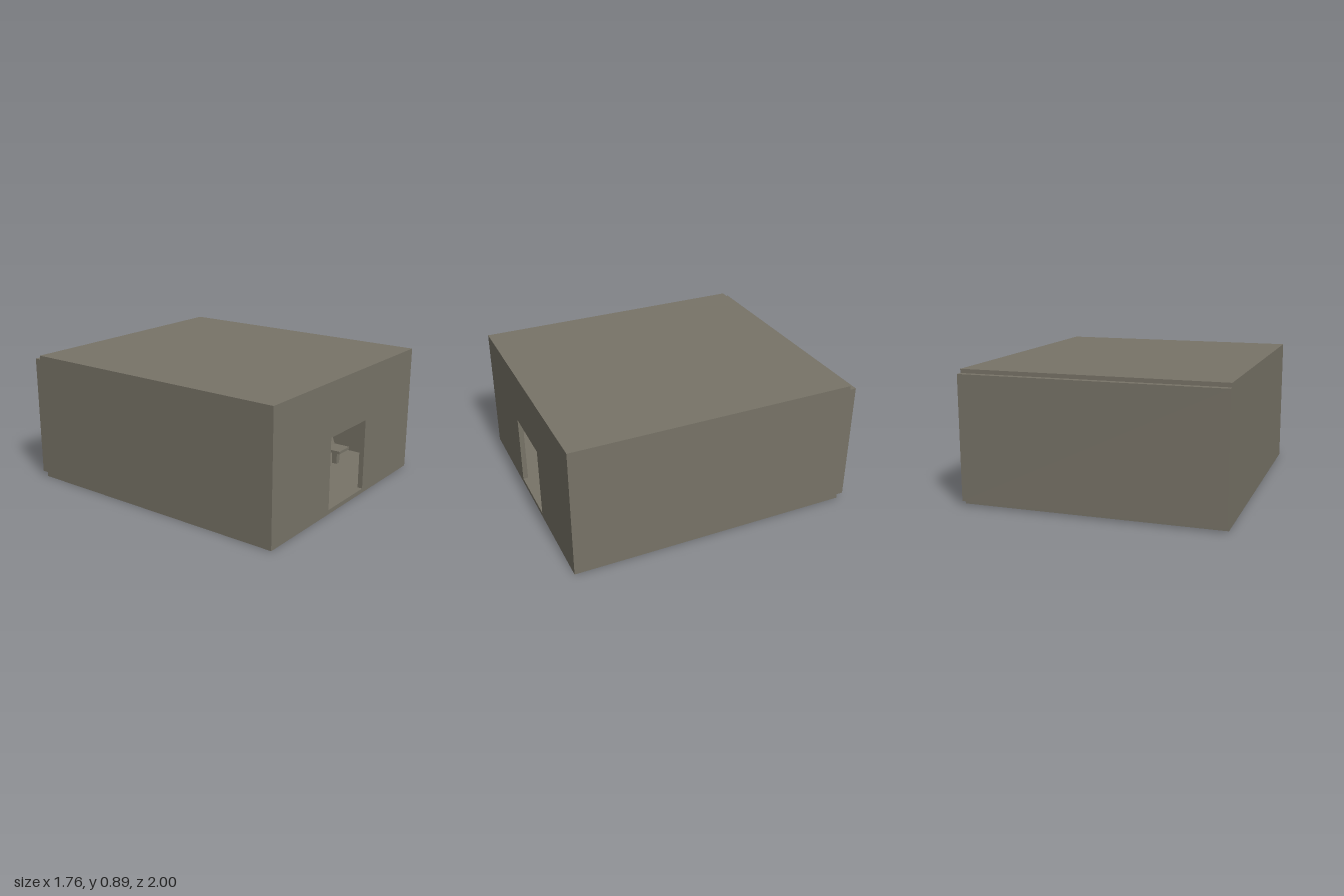
import * as THREE from 'three';

export function createModel() {
  const group = new THREE.Group();
  const stone = new THREE.MeshStandardMaterial({ color: 0x78746a });
  stone.color.set(0x777367);
  stone.name = 'warm grey';

  const add = (name, geometry, parent = group) => {
    const mesh = new THREE.Mesh(geometry, stone);
    mesh.name = name;
    parent.add(mesh);
    return mesh;
  };
  // Box given by its lower and upper limits on each axis
  const box = (name, x0, x1, y0, y1, z0, z1, parent) => {
    const mesh = add(name, new THREE.BoxGeometry(x1 - x0, y1 - y0, z1 - z0), parent);
    mesh.position.set((x0 + x1) / 2, (y0 + y1) / 2, (z0 + z1) / 2);
    return mesh;
  };

  const W = 0.88, H = 0.895, T = 0.035, back = -0.955, floorY = 0.03;

  // Front wall with the doorway cut out
  const wall = new THREE.Shape([[-W, 0], [W, 0], [W, H], [-W, H]].map(p => new THREE.Vector2(...p)));
  const door = [[-0.225, floorY], [-0.225, 0.525], [0.225, 0.525], [0.225, floorY]];
  wall.holes.push(new THREE.Path(door.map(p => new THREE.Vector2(...p))));
  add('frontWall', new THREE.ExtrudeGeometry(wall, { depth: T, bevelEnabled: false })).position.z = 1 - T;

  // Floor, ceiling, side walls and the set-back rear panel
  box('floor', -W, W, 0, floorY, back, 1 - T);
  box('ceiling', -W, W, H - 0.03, H, back, 1 - T);
  for (const s of [-1, 1]) {
    const x = s * (W - T / 2);
    box('sideWall', x - T / 2, x + T / 2, floorY, H - 0.03, back, 1 - T);
  }
  box('backWall', -W, W, floorY, H - 0.027, -1, back);

  // Counter on footed columns
  const counter = new THREE.Group();
  counter.name = 'counter';
  group.add(counter);
  for (const x of [-0.36, 0, 0.36]) {
    box('columnFoot', x - 0.045, x + 0.045, floorY, 0.065, 0.26, 0.35, counter);
    box('column', x - 0.03, x + 0.03, 0.065, 0.31, 0.275, 0.335, counter);
    box('columnLatch', x - 0.008, x + 0.008, 0.22, 0.245, 0.335, 0.34, counter);
  }
  box('counterTop', -0.45, 0.45, 0.31, 0.365, 0.0, 0.36, counter);
  box('counterBack', -0.45, 0.45, 0.365, 0.485, 0.0, 0.04, counter);
  box('counterLedge', -0.45, 0.45, 0.485, 0.495, -0.02, 0.06, counter);
  for (const s of [-1, 1]) {
    box('ledgePost', s * 0.175 - 0.02, s * 0.175 + 0.02, 0.495, 0.6, 0.0, 0.04, counter);
  }

  // Leaning seats, mirrored beside the doorway
  for (const s of [-1, 1]) {
    const seat = new THREE.Group();
    seat.name = 'seat';
    seat.position.set(s * 0.55, floorY, 0.6);
    group.add(seat);
    box('seatPlate', -0.07, 0.07, 0.1, 0.12, -0.07, 0.07, seat);
    box('seatStem', -0.02, 0.02, 0, 0.1, -0.02, 0.02, seat);
    const rest = box('seatBack', -0.07, 0.07, 0.1, 0.28, -0.1, -0.08, seat);
    rest.rotation.x = -0.35;
  }
  return group;
}
